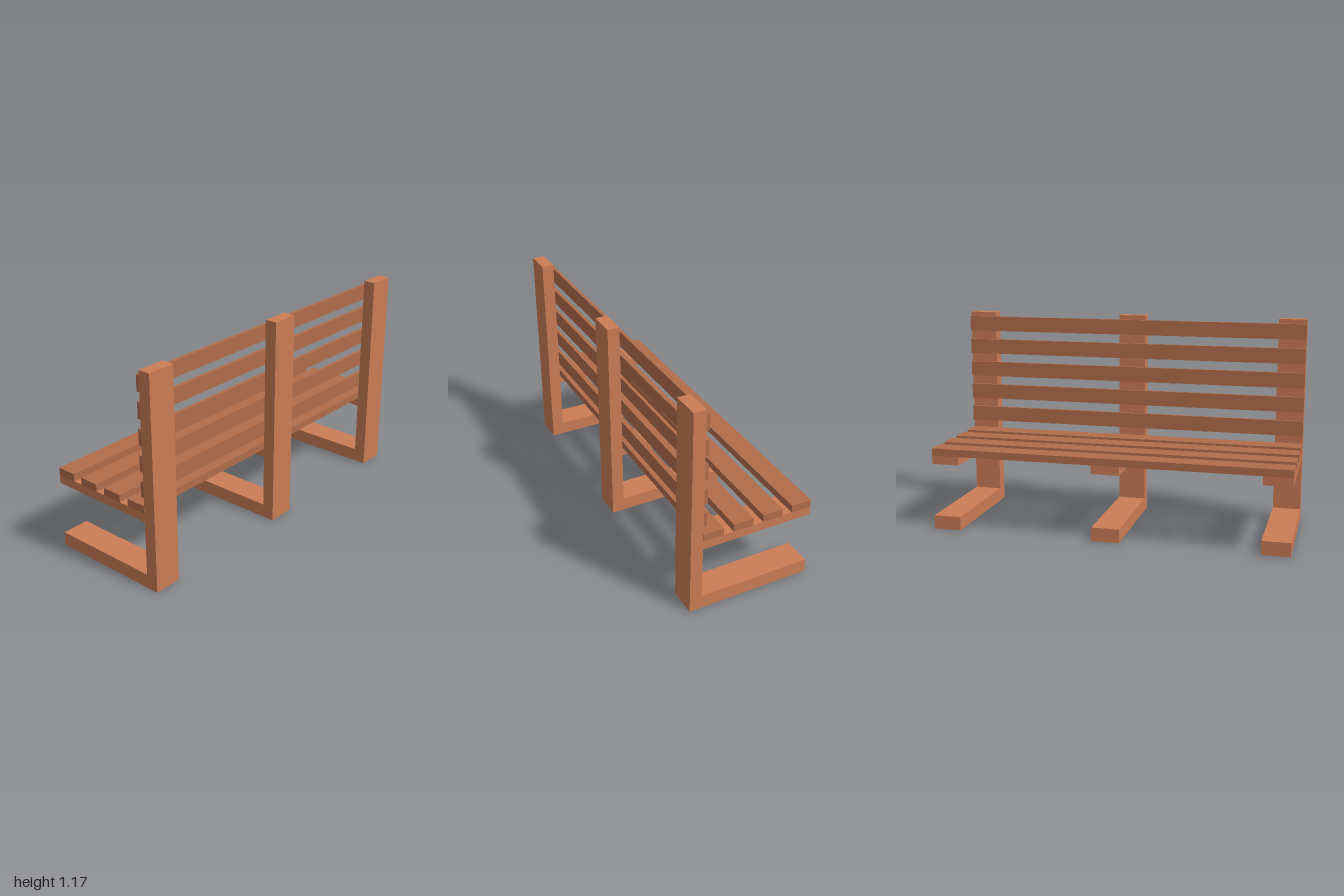
import * as THREE from 'three';

const frameMaterial = new THREE.MeshStandardMaterial({ color: 0xcb7c55 });
const slatMaterial = new THREE.MeshStandardMaterial({ color: 0xb26d4b });

const FRAME_WIDTH = 0.156;
const BACK = 0.346, FRONT = -0.346, POST = 0.278;

// One-piece side profile: upright post, seat bearer and foot, drawn as (z, y)
function frameGeometry() {
  const outline = [
    [BACK, 0], [BACK, 1.173], [POST, 1.173], [POST, 0.425], [FRONT, 0.425], [FRONT, 0.377],
    [POST, 0.377], [POST, 0.077], [FRONT, 0.077], [FRONT, 0],
  ];
  const shape = new THREE.Shape(outline.map(([z, y]) => new THREE.Vector2(z, y)));
  const geometry = new THREE.ExtrudeGeometry(shape, { depth: FRAME_WIDTH, bevelEnabled: false });
  geometry.rotateY(-Math.PI / 2);
  geometry.translate(FRAME_WIDTH / 2, 0, 0);
  return geometry;
}

// Full-length plank
function slat(name, height, depth, y, z) {
  const mesh = new THREE.Mesh(new THREE.BoxGeometry(2, height, depth), slatMaterial);
  mesh.name = name;
  mesh.position.set(0, y, z);
  return mesh;
}

export function createModel() {
  const bench = new THREE.Group();
  bench.name = 'bench';

  // Three supporting frames
  const geometry = frameGeometry();
  const places = { rightFrame: -1 + FRAME_WIDTH / 2, middleFrame: 0, leftFrame: 1 - FRAME_WIDTH / 2 };
  for (const [name, x] of Object.entries(places)) {
    const frame = new THREE.Mesh(geometry, frameMaterial);
    frame.name = name;
    frame.position.x = x;
    bench.add(frame);
  }

  // Seat planks
  for (let i = 0; i < 4; i++) {
    bench.add(slat(`seatSlat${i + 1}`, 0.041, 0.113, 0.4455, -0.2895 + i * 0.1695));
  }

  // Backrest planks
  for (let i = 0; i < 5; i++) {
    bench.add(slat(`backSlat${i + 1}`, 0.086, 0.018, 0.555 + i * 0.1375, 0.269));
  }

  return bench;
}
